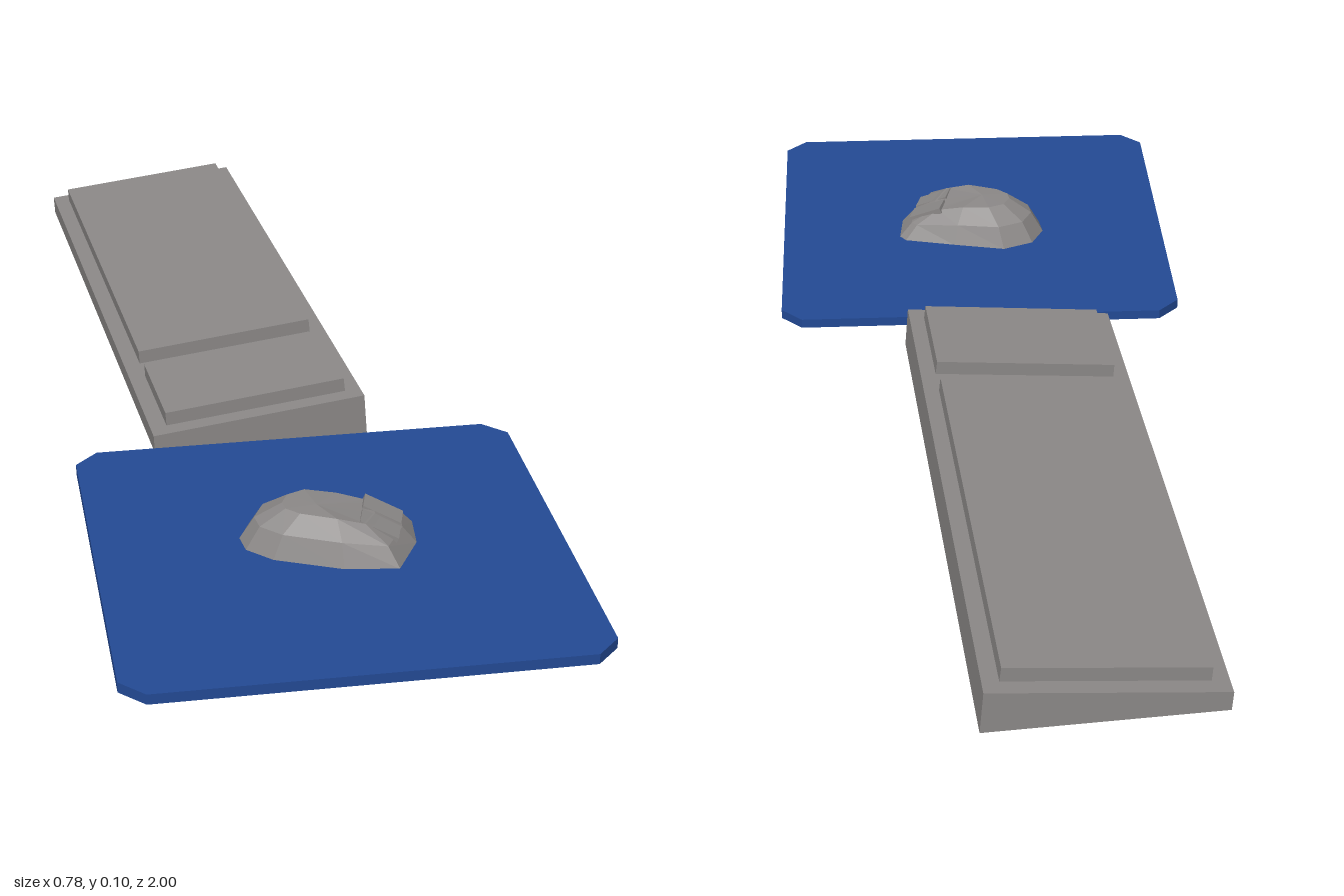
import * as THREE from 'three';

const grey = new THREE.MeshStandardMaterial({ color: 0x8c8988, flatShading: true });
const blue = new THREE.MeshStandardMaterial({ color: 0x234a95, flatShading: true });

// Prism: an outline in x/y, extruded from z0 to z1
function prism(name, points, z0, z1, material) {
  const shape = new THREE.Shape(points.map(([x, y]) => new THREE.Vector2(x, y)));
  const geometry = new THREE.ExtrudeGeometry(shape, { depth: z1 - z0, bevelEnabled: false });
  geometry.translate(0, 0, z0);
  const mesh = new THREE.Mesh(geometry, material);
  mesh.name = name;
  return mesh;
}

// Wedge-shaped keyboard with two raised key blocks
function createKeyboard() {
  const keyboard = new THREE.Group();
  keyboard.name = 'keyboard';
  const body = [[-0.195, 0.005], [0.199, 0], [0.193, 0.077], [-0.197, 0.04]];
  const keys = [[-0.167, 0.035], [0.166, 0.065], [0.162, 0.1], [-0.169, 0.068]];
  keyboard.add(
    prism('keyboardBody', body, -0.584, 0.585, grey),
    prism('mainKeys', keys, -0.555, 0.291, grey),
    prism('numberPad', keys, 0.348, 0.554, grey),
  );
  keyboard.position.set(-0.091, 0, -0.403);
  keyboard.rotation.y = 0.073;
  return keyboard;
}

// Flat mat with clipped corners
function createMat() {
  const h = 0.39, c = 0.35;
  const outline = [[-h, -c], [-c, -h], [c, -h], [h, -c], [h, c], [c, h], [-c, h], [-h, c]];
  const mat = prism('mouseMat', outline, 0, 0.018, blue);
  mat.rotation.x = -Math.PI / 2;
  mat.position.set(0, 0.011, 0.61);
  return mat;
}

// Faceted mouse shell: the base outline shrinks upward in rings
function createMouse() {
  const mouse = new THREE.Group();
  mouse.name = 'mouse';
  const cx = 0, cz = 0.592;
  const base = [[-0.145, 0.56], [-0.12, 0.51], [-0.06, 0.485], [0.04, 0.508], [0.14, 0.533],
    [0.152, 0.55], [0.145, 0.62], [0.1, 0.7], [0.01, 0.688], [-0.1, 0.64], [-0.14, 0.6]];
  const ring = (scale, height) => base.map(([x, z]) => {
    const px = cx + (x - cx) * scale;
    return [px, height(px), cz + (z - cz) * scale];
  });
  const rings = [
    ring(1, () => 0.028),
    ring(0.83, x => 0.07 - 0.1 * Math.max(0, x)),
    ring(0.52, x => 0.099 - 0.22 * Math.max(0, x)),
  ];
  const top = [-0.02, 0.1, cz], bottom = [cx, 0.028, cz];
  const positions = [];
  const tri = (...corners) => corners.forEach(p => positions.push(...p));
  for (let i = 0; i < base.length; i++) {
    const j = (i + 1) % base.length;
    for (let k = 0; k < 2; k++) {
      const low = rings[k], high = rings[k + 1];
      tri(low[i], high[i], high[j]);
      tri(low[i], high[j], low[j]);
    }
    tri(top, rings[2][j], rings[2][i]);
    tri(bottom, rings[0][i], rings[0][j]);
  }
  const geometry = new THREE.BufferGeometry();
  geometry.setAttribute('position', new THREE.Float32BufferAttribute(positions, 3));
  geometry.computeVertexNormals();
  const shell = new THREE.Mesh(geometry, grey);
  shell.name = 'mouseShell';
  mouse.add(shell);

  // Two raised buttons sloping down at the nose
  const buttons = new THREE.Group();
  buttons.name = 'mouseButtons';
  for (const side of [-1, 1]) {
    const button = new THREE.Mesh(new THREE.BoxGeometry(0.07, 0.012, 0.042), grey);
    button.name = side < 0 ? 'leftButton' : 'rightButton';
    button.position.z = side * 0.026;
    button.rotation.z = -0.42;
    buttons.add(button);
  }
  buttons.position.set(0.085, 0.071, 0.606);
  buttons.rotation.y = -0.28;
  mouse.add(buttons);
  return mouse;
}

export function createModel() {
  const model = new THREE.Group();
  model.name = 'keyboardAndMouse';
  model.add(createKeyboard(), createMat(), createMouse());
  return model;
}
